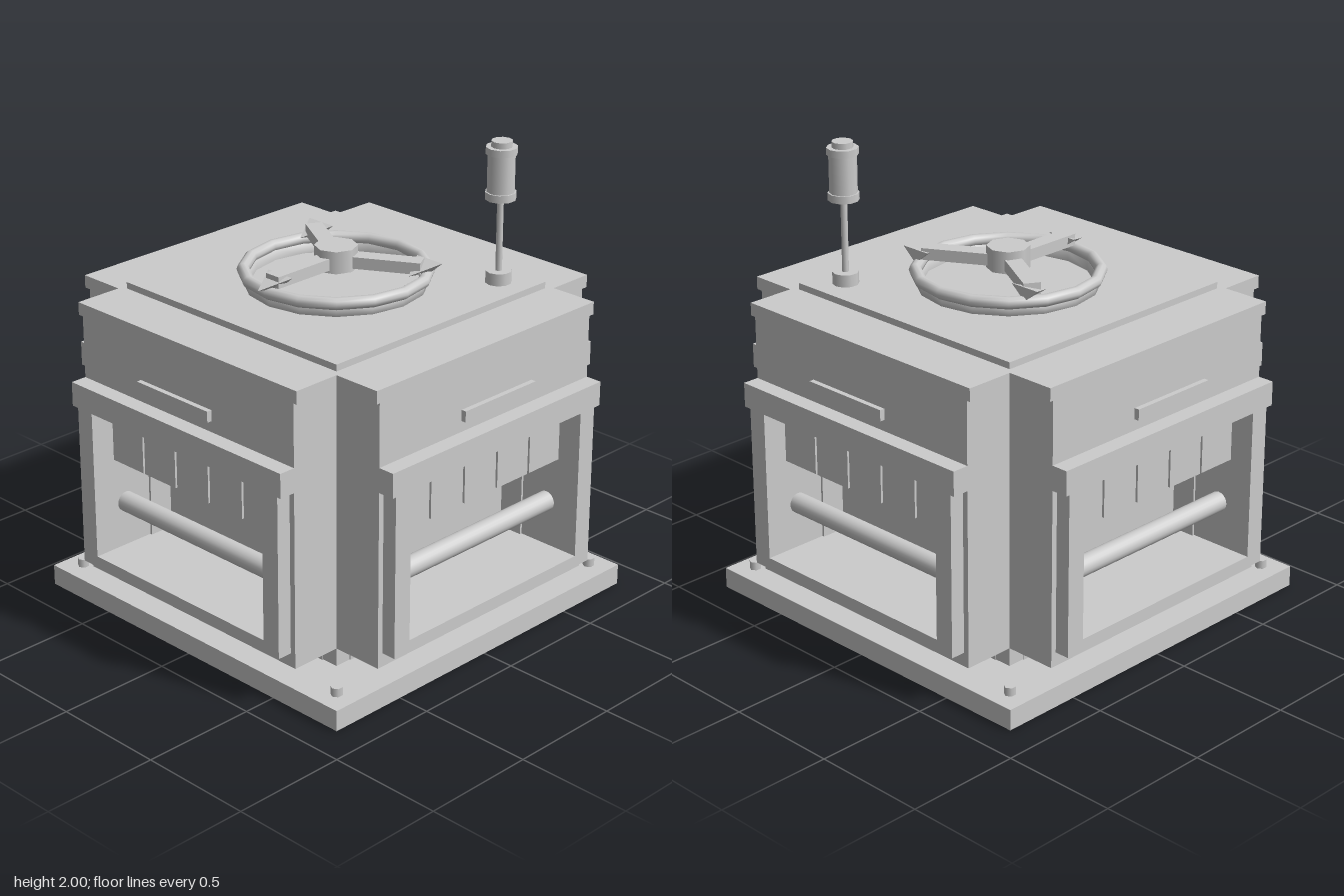
import * as THREE from 'three';
import { ConvexGeometry } from 'three/addons/geometries/ConvexGeometry.js';

export function createModel() {
  const model = new THREE.Group();
  const grey = new THREE.MeshStandardMaterial({ color: 0xcccccc });
  grey.name = 'grey';
  const greyOpen = grey; // one colour throughout

  const add = (parent, name, geometry, x = 0, y = 0, z = 0) => {
    const mesh = new THREE.Mesh(geometry, greyOpen);
    mesh.name = name;
    mesh.position.set(x, y, z);
    parent.add(mesh);
    return mesh;
  };
  // box given by its limits on each axis
  const box = (parent, name, x0, x1, y0, y1, z0, z1) =>
    add(parent, name, new THREE.BoxGeometry(x1 - x0, y1 - y0, z1 - z0),
      (x0 + x1) / 2, (y0 + y1) / 2, (z0 + z1) / 2);
  const rectangle = (Type, x0, x1, y0, y1) => new Type([
    new THREE.Vector2(x0, y0), new THREE.Vector2(x1, y0),
    new THREE.Vector2(x1, y1), new THREE.Vector2(x0, y1)]);

  // base slab, plinth and corner bolts
  box(model, 'baseSlab', -0.855, 0.855, 0, 0.09, -0.855, 0.855);
  box(model, 'plinth', -0.61, 0.61, 0.09, 0.17, -0.61, 0.61);
  for (const x of [-0.765, 0.765]) for (const z of [-0.765, 0.765])
    add(model, 'bolt', new THREE.CylinderGeometry(0.025, 0.025, 0.037, 6), x, 0.108, z);

  // body core behind the four alcoves
  box(model, 'core', -0.5, 0.5, 0.17, 1.31, -0.5, 0.5);

  // four identical sides
  for (let i = 0; i < 4; i++) {
    const side = new THREE.Group();
    side.name = 'side';
    side.rotation.y = i * Math.PI / 2;
    model.add(side);

    // wall around the alcove
    for (const s of [-1, 1])
      box(side, 'jamb', s > 0 ? 0.5 : -0.61, s > 0 ? 0.61 : -0.5, 0.17, 1.31, 0.49, 0.838);
    box(side, 'lintel', -0.5, 0.5, 0.93, 1.31, 0.49, 0.838);
    box(side, 'sill', -0.5, 0.5, 0.17, 0.28, 0.49, 0.838);
    box(side, 'plinthPlate', -0.535, 0.535, 0.09, 0.15, 0.609, 0.615);

    // raised frame and header
    const outline = rectangle(THREE.Shape, -0.585, 0.585, 0.23, 0.935);
    outline.holes.push(rectangle(THREE.Path, -0.5, 0.5, 0.28, 0.93));
    add(side, 'frame', new THREE.ExtrudeGeometry(outline,
      { depth: 0.067, bevelEnabled: false }), 0, 0, 0.836);
    box(side, 'header', -0.61, 0.61, 0.935, 1.04, 0.836, 0.91);
    box(side, 'handle', -0.205, 0.205, 1.12, 1.167, 0.886, 0.908);

    // hanging panels and the bar inside the alcove
    box(side, 'panelRail', -0.5, 0.5, 0.91, 0.93, 0.78, 0.83);
    for (let p = 0; p < 5; p++) {
      const x = (p - 2) * 0.195;
      box(side, 'hangingPanel', x - 0.092, x + 0.092, 0.70, 0.912, 0.79, 0.81);
    }
    const bar = add(side, 'bar', new THREE.CylinderGeometry(0.043, 0.043, 0.97, 20), 0, 0.49, 0.75);
    bar.rotation.z = Math.PI / 2;
  }

  // cross-shaped roof and the square plate on it
  const a = 0.63, b = 0.842;
  const cross = new THREE.Shape([
    [-a, -b], [a, -b], [a, -a], [b, -a], [b, a], [a, a],
    [a, b], [-a, b], [-a, a], [-b, a], [-b, -a], [-a, -a],
  ].map(([x, y]) => new THREE.Vector2(x, y)));
  const roof = add(model, 'roof', new THREE.ExtrudeGeometry(cross,
    { depth: 0.055, bevelEnabled: false }), 0, 1.31, 0);
  roof.rotation.x = -Math.PI / 2;
  box(model, 'topPlate', -0.605, 0.605, 1.365, 1.393, -0.605, 0.605);

  // wheel: ring on a low band, hub, spokes and pointed tips
  const wheel = new THREE.Group();
  wheel.name = 'wheel';
  model.add(wheel);
  const ring = add(wheel, 'ring', new THREE.TorusGeometry(0.38, 0.026, 10, 16), 0, 1.45, 0);
  ring.rotation.x = Math.PI / 2;
  add(wheel, 'ringBand', new THREE.LatheGeometry([
    [0.355, 1.39], [0.38, 1.39], [0.38, 1.435], [0.355, 1.435], [0.355, 1.39],
  ].map(([r, y]) => new THREE.Vector2(r, y)), 16));
  add(wheel, 'hub', new THREE.CylinderGeometry(0.09, 0.09, 0.095, 8), 0, 1.508, 0);
  for (let i = 0; i < 3; i++) {
    const angle = i * Math.PI * 2 / 3;
    const arm = new THREE.Group();
    arm.name = 'arm';
    arm.rotation.y = angle;
    wheel.add(arm);
    box(arm, 'spoke', -0.036, 0.036, 1.472, 1.522, 0.06, 0.36);
    // every tip points to the front
    const tip = new ConvexGeometry([
      new THREE.Vector3(-0.07, 1.515, -0.045), new THREE.Vector3(0.07, 1.515, -0.045),
      new THREE.Vector3(0, 1.455, -0.045), new THREE.Vector3(0, 1.475, 0.08)]);
    add(wheel, 'tip', tip, 0.36 * Math.sin(angle), 0, 0.36 * Math.cos(angle));
  }

  // upright rod with its socket and flanged head
  const rod = new THREE.Group();
  rod.name = 'lever';
  rod.position.set(0.468, 0, -0.47);
  model.add(rod);
  const cylinder = (name, r, y0, y1, sides = 10) =>
    add(rod, name, new THREE.CylinderGeometry(r, r, y1 - y0, sides), 0, (y0 + y1) / 2, 0);
  cylinder('socket', 0.055, 1.393, 1.445);
  cylinder('rod', 0.014, 1.44, 1.76);
  cylinder('headFlange', 0.065, 1.753, 1.785);
  cylinder('head', 0.058, 1.78, 1.95);
  cylinder('headFlange', 0.066, 1.945, 1.975);
  cylinder('headCap', 0.044, 1.97, 2.0);

  return model;
}
